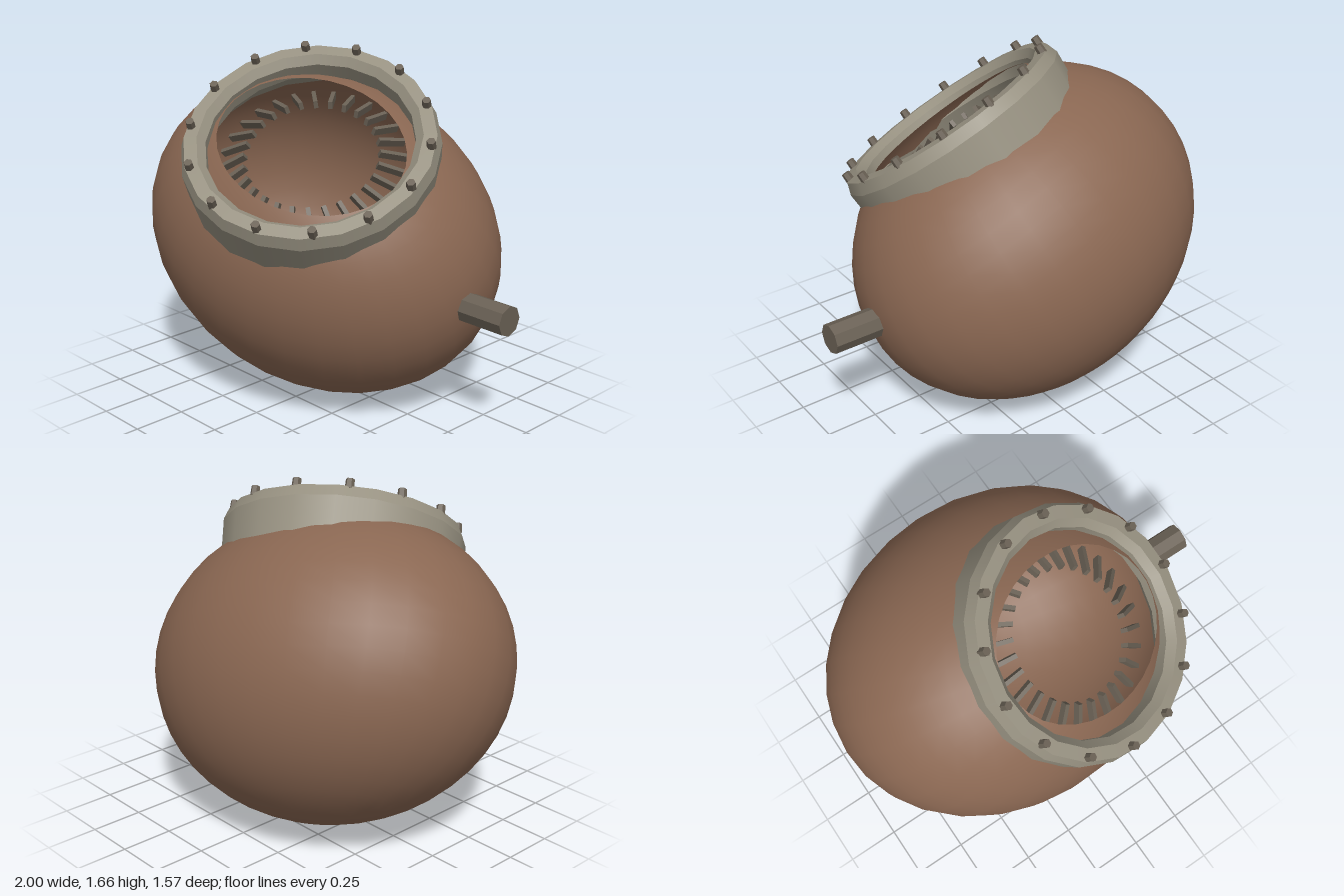
import * as THREE from 'three';
import { mergeGeometries } from 'three/addons/utils/BufferGeometryUtils.js';

const clay = new THREE.MeshStandardMaterial({ name: 'clay brown', color: 0x8a6752, side: THREE.DoubleSide });
const stone = new THREE.MeshStandardMaterial({ name: 'pale grey metal', color: 0x969080 });
const iron = new THREE.MeshStandardMaterial({ name: 'dark grey metal', color: 0x6a6155, flatShading: true });

function add(parent, name, geometry, material) {
  const mesh = new THREE.Mesh(geometry, material);
  mesh.name = name;
  parent.add(mesh);
  return mesh;
}

// Lathe with a hard edge at every profile point
function creasedLathe(profile, sides) {
  const bands = profile.map(([r, y], i) => {
    const [r2, y2] = profile[(i + 1) % profile.length];
    return new THREE.LatheGeometry([new THREE.Vector2(r, y), new THREE.Vector2(r2, y2)], sides);
  });
  return mergeGeometries(bands);
}

export function createModel() {
  const model = new THREE.Group();
  model.name = 'tiltedVessel';

  // Tilted frame: local y runs through the mouth, local x along the long axis
  const up = new THREE.Vector3(0.35, 0.817, 0.457).normalize();
  const side = new THREE.Vector3().crossVectors(new THREE.Vector3(0.93, -0.32, -0.17), up).normalize();
  const long = new THREE.Vector3().crossVectors(up, side);
  const vessel = new THREE.Group();
  vessel.name = 'vessel';
  vessel.quaternion.setFromRotationMatrix(new THREE.Matrix4().makeBasis(long, up, side));
  vessel.position.set(-0.11, 0.755, -0.04);
  model.add(vessel);

  // Hollow egg-shaped body, open at the mouth
  const shell = new THREE.SphereGeometry(1, 32, 20, 0, Math.PI * 2, 0.53, Math.PI - 0.53);
  shell.scale(0.91, 0.737, 0.737);
  add(vessel, 'body', shell, clay);

  // Collar around the mouth
  const collar = [[0.575, 0.44], [0.585, 0.63], [0.565, 0.685], [0.505, 0.69], [0.47, 0.655], [0.47, 0.58]];
  add(vessel, 'collar', creasedLathe(collar, 20), stone);

  // Bolts on the collar
  const boltGeometry = new THREE.CylinderGeometry(0.02, 0.022, 0.045, 6);
  for (let i = 0; i < 14; i++) {
    const a = 4.43 + (i / 14) * Math.PI * 2;
    add(vessel, 'bolt', boltGeometry, iron).position.set(0.543 * Math.cos(a), 0.7, 0.543 * Math.sin(a));
  }

  // Ring of slanted teeth inside the mouth, inner tips raised
  const toothGeometry = new THREE.BoxGeometry(0.14, 0.035, 0.02);
  for (let i = 0; i < 28; i++) {
    const spoke = new THREE.Group();
    spoke.name = 'toothMount';
    spoke.rotation.y = (i / 28) * Math.PI * 2;
    const tooth = add(spoke, 'tooth', toothGeometry, iron);
    tooth.position.set(0.365, 0.53, 0);
    tooth.rotation.set(0, 0.15, -0.46);
    vessel.add(spoke);
  }

  // Spout stub on the left side
  const spout = add(model, 'spout', new THREE.CylinderGeometry(0.07, 0.07, 0.28, 8), iron);
  spout.rotation.z = -Math.PI / 2;
  spout.position.set(0.86, 0.59, -0.088);
  return model;
}
